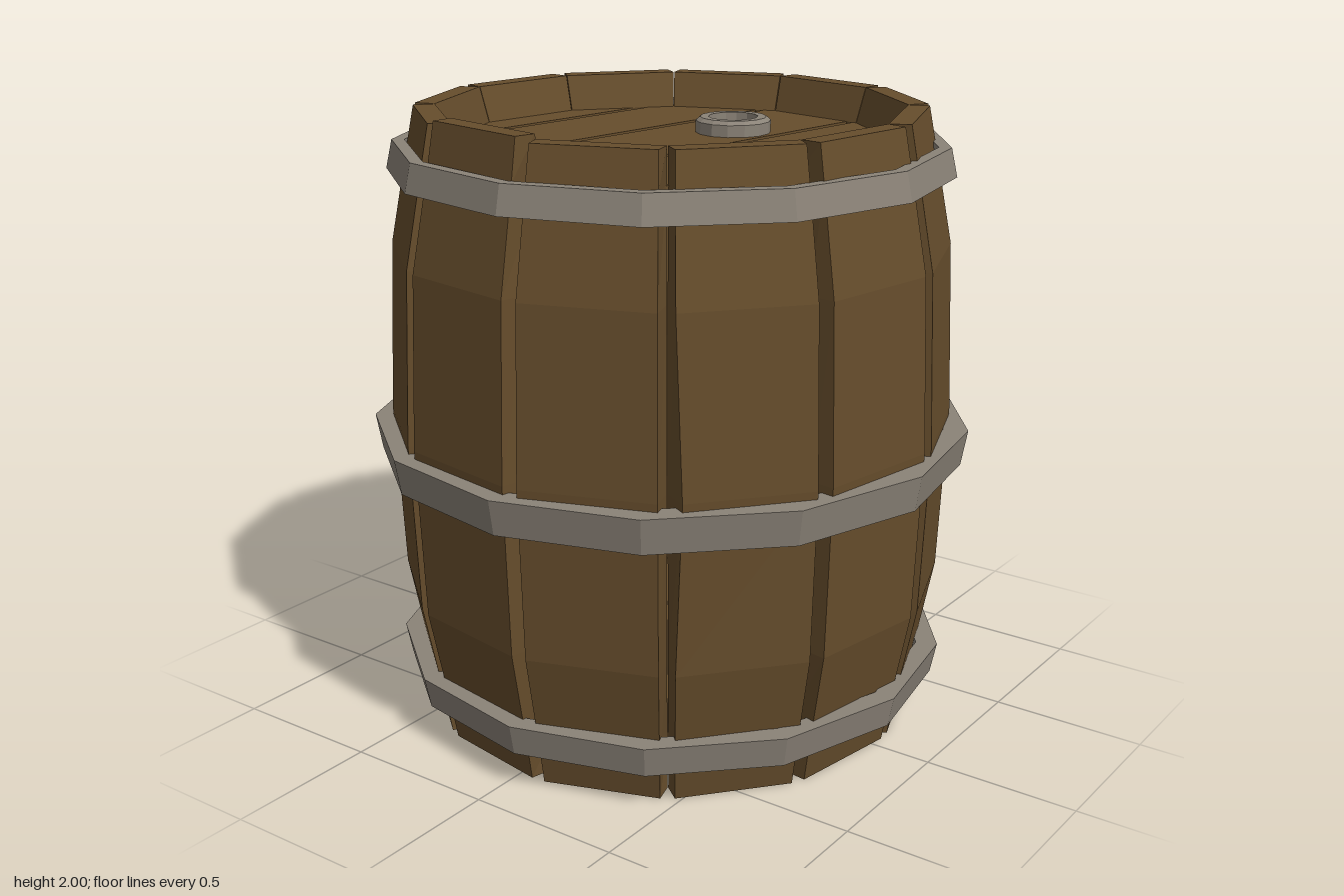
import * as THREE from 'three';

const DEG = Math.PI / 180;

// Faceted look: split vertices and give every face its own normal
function faceted(geometry) {
  const g = geometry.index ? geometry.toNonIndexed() : geometry;
  g.computeVertexNormals();
  return g;
}

// Stave cross-sections: height, outer radius, inner radius
const ROWS = [
  [0, 0.805, 0.74], [0.13, 0.828, 0.705], [0.45, 0.89, 0.8], [1, 0.912, 0.83],
  [1.55, 0.89, 0.8], [1.87, 0.828, 0.705], [1.985, 0.805, 0.74],
];

// One curved plank around the barrel; wear narrows its edges at mid-height
function staveGeometry(angle, top, wear) {
  const positions = [], index = [];
  ROWS.forEach(([y, outer, inner], j) => {
    const worn = j === 3 ? wear : 0;
    const section = [
      [outer, angle - 13.4], [outer, angle + 13.4 - worn],
      [inner, angle + 14.9], [inner, angle - 14.9],
    ];
    for (const [r, a] of section) {
      positions.push(r * Math.cos(a * DEG), j === ROWS.length - 1 ? top : y, r * Math.sin(a * DEG));
    }
  });
  const quad = (a, b, c, d) => index.push(a, b, c, a, c, d);
  for (let j = 0; j < ROWS.length - 1; j++) {
    for (let k = 0; k < 4; k++) {
      const a = j * 4 + k, b = j * 4 + (k + 1) % 4;
      quad(b, a, a + 4, b + 4);
    }
  }
  const t = (ROWS.length - 1) * 4;
  quad(0, 1, 2, 3);
  quad(t + 1, t, t + 3, t + 2);
  const g = new THREE.BufferGeometry();
  g.setAttribute('position', new THREE.Float32BufferAttribute(positions, 3));
  g.setIndex(index);
  return faceted(g);
}

// A plank cut from a disc between two parallel lines
function boardGeometry(from, to, radius, thickness) {
  const upper = [], lower = [];
  for (let i = 0; i <= 8; i++) {
    const u = from + (to - from) * i / 8;
    const v = Math.sqrt(Math.max(0.0001, radius * radius - u * u));
    lower.push(new THREE.Vector2(u, -v));
    upper.unshift(new THREE.Vector2(u, v));
  }
  const g = new THREE.ExtrudeGeometry(new THREE.Shape([...lower, ...upper]), { depth: thickness, bevelEnabled: false });
  g.rotateX(-Math.PI / 2);
  return faceted(g);
}

function latheGeometry(points, sides, phase = 0) {
  return faceted(new THREE.LatheGeometry(points.map(p => new THREE.Vector2(...p)), sides, phase));
}

export function createModel() {
  const wood = new THREE.MeshStandardMaterial({ color: 0x664d2c });
  const darkWood = new THREE.MeshStandardMaterial({ color: 0x3d2e1b });
  const metal = new THREE.MeshStandardMaterial({ color: 0x8b8378 });
  wood.name = 'wood';
  darkWood.name = 'dark wood';
  metal.name = 'metal';

  const model = new THREE.Group();
  model.name = 'barrel';
  const add = (parent, name, geometry, material) => {
    const mesh = new THREE.Mesh(geometry, material);
    mesh.name = name;
    parent.add(mesh);
    return mesh;
  };

  // Twelve staves, one standing slightly proud
  const staves = new THREE.Group();
  staves.name = 'staves';
  model.add(staves);
  for (let i = 0; i < 12; i++) {
    const angle = 10 + i * 30;
    add(staves, 'stave', staveGeometry(angle, i === 3 ? 2 : 1.985, i % 3 === 1 ? 1.2 : 0), wood);
  }

  // Top and bottom heads: five boards with a dark backing in the seams
  const seams = [-0.735, -0.55, -0.215, 0.17, 0.51, 0.735];
  for (const [name, y, backingY] of [['lid', 1.82, 1.82], ['base', 0.1, 0.14]]) {
    const head = new THREE.Group();
    head.name = name;
    head.rotation.y = -0.15;
    model.add(head);
    for (let i = 0; i < 5; i++) {
      add(head, name + 'Board', boardGeometry(seams[i] + 0.013, seams[i + 1] - 0.013, 0.75, 0.05), wood).position.y = y;
    }
    add(head, name + 'Backing', faceted(new THREE.CylinderGeometry(0.73, 0.73, 0.02, 24)), darkWood).position.y = backingY;
  }

  // Hoops: y and outer radius at the lower and upper edge, then inner radius
  const hoops = [
    ['bottomHoop', 0.12, 0.885, 0.22, 0.905, 0.835],
    ['middleHoop', 0.86, 0.95, 0.975, 0.97, 0.89],
    ['topHoop', 1.79, 0.895, 1.88, 0.875, 0.835],
  ];
  for (const [name, y0, r0, y1, r1, inner] of hoops) {
    add(model, name, latheGeometry([[r0, y0], [r1, y1], [inner, y1], [inner, y0], [r0, y0]], 13, 3 * DEG), metal);
  }

  // Metal bung with a shallow recess
  const bung = add(model, 'bung', latheGeometry(
    [[0.122, 0], [0.122, 0.04], [0.108, 0.052], [0.08, 0.052], [0.08, 0.025], [0, 0.025]], 14), metal);
  bung.position.set(0.06, 1.868, -0.26);

  return model;
}
